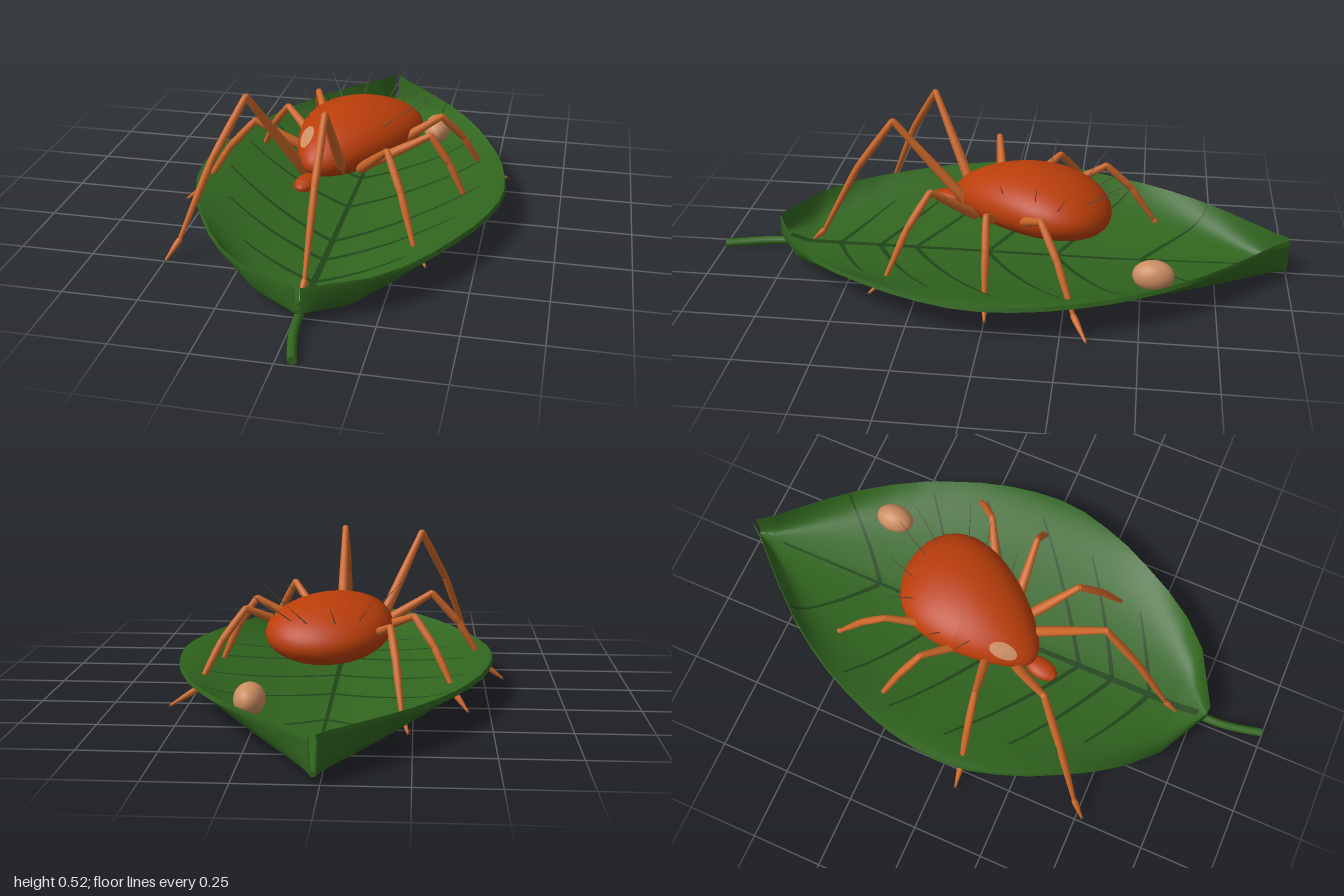
import * as THREE from 'three';
import { toCreasedNormals } from 'three/addons/utils/BufferGeometryUtils.js';

const V = (x, y, z) => new THREE.Vector3(x, y, z);
const mat = (name, color, side = THREE.FrontSide) => {
  const m = new THREE.MeshStandardMaterial({ color, side });
  m.name = name;
  return m;
};

// Leaf outline: half width at each z
const CX = 0.02, THICK = 0.015, INSET = 0.005;
const outline = [[-1, 0.014], [-0.95, 0.05], [-0.9, 0.1], [-0.8, 0.195], [-0.7, 0.28], [-0.6, 0.35],
  [-0.5, 0.408], [-0.4, 0.453], [-0.3, 0.492], [-0.2, 0.52], [-0.1, 0.538], [0, 0.545], [0.1, 0.535],
  [0.2, 0.507], [0.3, 0.47], [0.4, 0.42], [0.5, 0.365], [0.6, 0.295], [0.69, 0.205], [0.79, 0.014]];

function halfWidth(z) {
  const i = Math.min(outline.length - 2, Math.max(0, outline.findIndex(o => o[0] >= z) - 1));
  const [[z0, w0], [z1, w1]] = [outline[i], outline[i + 1]];
  return w0 + (w1 - w0) * (z - z0) / (z1 - z0);
}

// Underside of the bowl: shallow keel that turns up steeply into a level rim
function underY(x, z) {
  const back = 0.015 * Math.max(0, -z - 0.4) / 0.6, front = 0.03 * Math.max(0, z - 0.69) / 0.1;
  const rim = 0.118 + back;
  const keel = Math.min(rim, 0.012 + back + front + 0.105 * Math.pow(Math.abs(x) / 0.545, 1.5));
  return keel + (rim - keel) * Math.pow(Math.min(1, Math.abs(x) / halfWidth(z)), 6);
}

const upperY = (x, z) => {
  const w = halfWidth(z);
  return underY(x * w / (w - INSET), z) + THICK;
};

// Thin bowl-shaped leaf lofted from closed cross-sections along z
function leafGeometry() {
  const N = 16, SUB = 4, pos = [], idx = [];
  const zs = outline.slice(1).flatMap(([z1], i) =>
    Array.from({ length: SUB }, (_, k) => outline[i][0] + (z1 - outline[i][0]) * k / SUB));
  zs.push(0.79);
  const n = 4 * N + 2;
  for (const z of zs) {
    const w = halfWidth(z), outer = [], inner = [];
    for (let i = -N; i <= N; i++) {
      const f = Math.sign(i) * (1 - Math.pow(1 - Math.abs(i) / N, 1.5));
      outer.push([f * w, underY(f * w, z)]);
      inner.push([f * (w - INSET), underY(f * w, z) + THICK]);
    }
    [...outer, ...inner.reverse()].forEach(([x, y]) => pos.push(CX + x, y, z));
  }
  for (let s = 0; s < zs.length - 1; s++) {
    for (let i = 0; i < n; i++) {
      const a = s * n + i, b = s * n + (i + 1) % n;
      idx.push(a, b, b + n, a, b + n, a + n);
    }
  }
  // Close the shell thickness at both tips
  const last = (zs.length - 1) * n;
  for (let i = 0; i < 2 * N; i++) {
    const j = n - 1 - i;
    idx.push(i, j, j - 1, i, j - 1, i + 1);
    idx.push(last + i, last + j - 1, last + j, last + i, last + i + 1, last + j - 1);
  }
  const geo = new THREE.BufferGeometry();
  geo.setAttribute('position', new THREE.Float32BufferAttribute(pos, 3));
  geo.setIndex(idx);
  return toCreasedNormals(geo, 0.8);
}

// Tapering strip that follows the leaf's upper surface
function veinGeometry(curve, h0, h1, N) {
  const pos = [], idx = [];
  for (let i = 0; i <= N; i++) {
    const p = curve.getPoint(i / N), t = curve.getTangent(i / N), h = h0 + (h1 - h0) * i / N;
    for (const s of [-1, 1]) {
      const x = p.x + s * t.z * h, z = p.z - s * t.x * h;
      pos.push(CX + x, upperY(x, z) + 0.004, z);
    }
    if (i < N) idx.push(2 * i, 2 * i + 2, 2 * i + 1, 2 * i + 1, 2 * i + 2, 2 * i + 3);
  }
  const geo = new THREE.BufferGeometry();
  geo.setAttribute('position', new THREE.Float32BufferAttribute(pos, 3));
  geo.setIndex(idx.reverse());
  geo.computeVertexNormals();
  return geo;
}

// Egg-shaped abdomen: maps a point of the unit sphere to the tapered, bent body
const eggPoint = ({ x, y, z }) => V(0.05 - 0.03 * (z + 1) ** 2 + 0.197 * x * (1 - 0.3 * z),
  0.255 - 0.03 * z * z + 0.108 * y * (1 - 0.1 * z), -0.11 + 0.28 * z);

function eggify(geo) {
  const p = geo.attributes.position, v = V(0, 0, 0);
  for (let i = 0; i < p.count; i++) {
    const q = eggPoint(v.fromBufferAttribute(p, i));
    p.setXYZ(i, q.x, q.y, q.z);
  }
  geo.computeVertexNormals();
  return geo;
}

// Rounded spindle between two points
function spindle(a, b, r0, r1, material, name, sides = 12) {
  const d = b.clone().sub(a), L = d.length(), mid = (r0 + r1) / 2;
  const profile = [[0, -r0 * 0.7], [r0 * 0.7, -r0 * 0.4], [r0 * 0.95, 0], [r0 * 1.03, L * 0.2], [mid * 1.1, L * 0.5],
    [r1 * 1.05, L * 0.85], [r1 * 0.95, L], [r1 * 0.7, L + r1 * 0.4], [0, L + r1 * 0.7]];
  const mesh = new THREE.Mesh(new THREE.LatheGeometry(profile.map(([r, y]) => new THREE.Vector2(r, y)), sides), material);
  mesh.position.copy(a);
  mesh.quaternion.setFromUnitVectors(V(0, 1, 0), d.normalize());
  mesh.name = name;
  return mesh;
}

export function createModel() {
  const model = new THREE.Group();
  const leafGreen = mat('leaf green', 0x31651f, THREE.DoubleSide);
  const veinGreen = mat('vein green', 0x214519, THREE.DoubleSide);
  const bodyRed = mat('body rust', 0xba3e0a);
  const legOrange = mat('leg orange', 0xca6629);
  const peach = mat('peach', 0xcb8d62);
  const hairBrown = mat('bristle brown', 0x5e4d41);
  const add = (geo, material, name, parent = model) => {
    const m = new THREE.Mesh(geo, material);
    m.name = name;
    parent.add(m);
    return m;
  };

  add(leafGeometry(), leafGreen, 'leaf');

  // Stem
  const stemPath = new THREE.CatmullRomCurve3([V(0.02, 0.03, 0.74), V(0.022, 0.024, 0.84), V(0.035, 0.02, 0.92), V(0.053, 0.018, 0.995)]);
  add(new THREE.TubeGeometry(stemPath, 12, 0.015, 10), leafGreen, 'stem');
  const stemEnd = add(new THREE.CircleGeometry(0.015, 10), leafGreen, 'stemEnd');
  stemEnd.position.set(0.053, 0.018, 0.995);
  stemEnd.rotation.y = 0.23;

  // Midrib and side veins, mirrored about the midrib
  add(veinGeometry(new THREE.LineCurve3(V(0, 0, 0.76), V(0, 0, -0.9)), 0.012, 0.004, 50), veinGreen, 'midrib');
  const veins = [[-0.5, 0.245, -0.73], [-0.2, 0.385, -0.45], [0.04, 0.435, -0.25], [0.3, 0.45, -0.03], [0.43, 0.39, 0.19], [0.575, 0.27, 0.43]];
  for (const [z0, dx, z1] of veins) {
    for (const s of [-1, 1]) {
      const curve = new THREE.QuadraticBezierCurve3(V(s * 0.005, 0, z0),
        V(s * dx * 0.55, 0, z0 + (z1 - z0) * 0.45), V(s * dx, 0, z1));
      add(veinGeometry(curve, 0.0085, 0.003, 20), veinGreen, 'sideVein');
    }
  }

  // Egg lying on the leaf
  const egg = add(new THREE.SphereGeometry(1, 24, 16), peach, 'egg');
  egg.scale.set(0.05, 0.052, 0.07);
  egg.position.set(0.255, 0.109, -0.54);

  // Abdomen with a pale patch on the right shoulder
  const spider = new THREE.Group();
  spider.name = 'spider';
  model.add(spider);
  add(eggify(new THREE.SphereGeometry(1, 40, 28)), bodyRed, 'abdomen', spider);
  const patch = new THREE.SphereGeometry(1.015, 24, 6, 0, Math.PI * 2, 0, 0.22);
  patch.applyQuaternion(new THREE.Quaternion().setFromUnitVectors(V(0, 1, 0), V(-0.52, 0.47, 0.56).normalize()));
  add(eggify(patch), peach, 'shoulderPatch', spider);

  // Small ringed head
  const head = new THREE.Group();
  head.name = 'head';
  head.position.set(-0.092, 0.187, 0.195);
  head.rotation.y = -0.2;
  spider.add(head);
  add(new THREE.SphereGeometry(1, 20, 14), bodyRed, 'skull', head).scale.set(0.037, 0.023, 0.062);
  for (const [r, z] of [[0.028, 0.036], [0.017, 0.051]]) {
    const ring = add(new THREE.TorusGeometry(r, 0.004, 6, 20), bodyRed, 'headRing', head);
    ring.scale.y = 0.65;
    ring.position.z = z;
  }

  // Legs: hip, knee, ankle, foot tip
  const legs = [
    [[-0.08, 0.21, -0.14], [-0.175, 0.30, -0.36], [-0.215, 0.07, -0.54], [-0.235, 0.022, -0.58]],
    [[-0.09, 0.21, -0.04], [-0.25, 0.30, -0.19], [-0.385, 0.07, -0.305], [-0.425, 0.022, -0.34]],
    [[-0.09, 0.20, 0.00], [-0.31, 0.333, 0.04], [-0.50, 0.07, 0.066], [-0.562, 0.022, 0.072]],
    [[-0.12, 0.19, 0.11], [-0.273, 0.513, 0.27], [-0.453, 0.075, 0.475], [-0.487, 0.022, 0.52]],
    [[0.01, 0.20, 0.10], [0.012, 0.513, 0.37], [0.005, 0.07, 0.64], [0.002, 0.025, 0.685]],
    [[0.07, 0.20, 0.08], [0.185, 0.335, 0.215], [0.302, 0.06, 0.355], [0.345, 0.028, 0.40]],
    [[0.10, 0.20, 0.02], [0.30, 0.315, 0.01], [0.433, 0.07, 0.0], [0.475, 0.03, -0.005]],
    [[0.12, 0.21, -0.06], [0.315, 0.315, -0.17], [0.465, 0.065, -0.29], [0.545, 0.022, -0.335]],
  ];
  for (const pts of legs) {
    const leg = new THREE.Group();
    leg.name = 'leg';
    spider.add(leg);
    const [hip, knee, ankle, toe] = pts.map(p => V(...p));
    const shin = knee.clone().lerp(ankle, 0.45);
    shin.add(V((ankle.x - knee.x) * 0.05, 0.012, (ankle.z - knee.z) * 0.05));
    leg.add(spindle(hip, knee, 0.018, 0.012, legOrange, 'thigh'));
    leg.add(spindle(knee, shin, 0.012, 0.0125, legOrange, 'upperShin'));
    leg.add(spindle(shin, ankle, 0.0125, 0.008, legOrange, 'lowerShin'));
    leg.add(spindle(ankle, toe, 0.0105, 0.005, legOrange, 'foot'));
    // Pair of tiny claws
    const out = toe.clone().sub(ankle).setY(0).normalize();
    for (const s of [-1, 1]) {
      const tip = toe.clone().addScaledVector(out, 0.008).add(V(-out.z * 0.006 * s, -0.005, out.x * 0.006 * s));
      leg.add(spindle(toe, tip, 0.003, 0.001, hairBrown, 'claw', 5));
    }
  }

  // Bristles: direction of the root on the abdomen, then the offset to the tip
  const bristles = [
    [[-0.55, 0.6, -0.75], [-0.05, 0.08, -0.06]], [[-0.2, 0.6, -0.85], [0.01, 0.07, -0.09]],
    [[0.2, 0.6, -0.85], [0.05, 0.08, -0.11]], [[0.45, 0.6, -0.75], [0.07, 0.08, -0.11]],
    [[0.85, 0.5, -0.4], [0.09, 0.09, -0.03]], [[0.75, 0.6, -0.1], [0.08, 0.08, -0.01]],
    [[0.7, 0.6, 0.3], [0.07, 0.06, 0.0]], [[-0.9, 0.5, -0.2], [-0.05, 0.08, -0.02]],
    [[-0.8, 0.6, 0.2], [-0.07, 0.08, -0.02]],
  ];
  for (const [d, o] of bristles) {
    const root = eggPoint(V(...d).normalize());
    spider.add(spindle(root, root.clone().add(V(...o)), 0.0016, 0.0007, hairBrown, 'bristle', 5));
  }
  return model;
}
